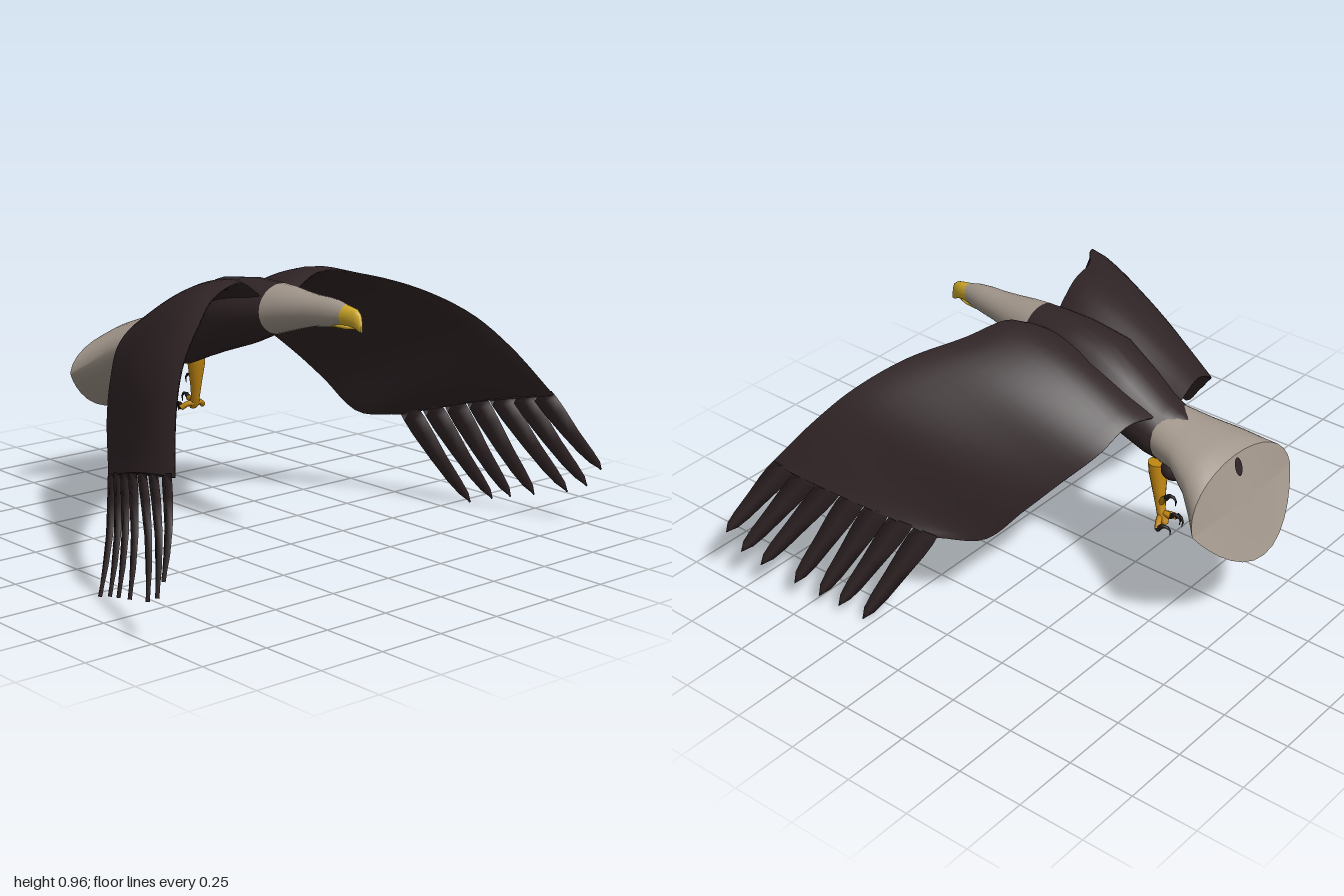
import * as THREE from 'three';

const mat = (name, color) => {
  const m = new THREE.MeshStandardMaterial({ color, side: THREE.DoubleSide });
  m.name = name;
  return m;
};
const V = (x, y, z) => new THREE.Vector3(x, y, z);

// Skin a list of closed rings (arrays of Vector3), closing both ends
function loft(rings, caps = true) {
  const n = rings[0].length, pos = [], idx = [];
  rings.forEach(r => r.forEach(p => pos.push(p.x, p.y, p.z)));
  for (let i = 0; i < rings.length - 1; i++) {
    for (let j = 0; j < n; j++) {
      const a = i * n + j, b = i * n + (j + 1) % n;
      idx.push(a, b, a + n, b, b + n, a + n);
    }
  }
  if (caps) {
    [0, rings.length - 1].forEach((k, e) => {
      const c = rings[k].reduce((s, p) => s.add(p), V(0, 0, 0)).divideScalar(n);
      const o = pos.length / 3;
      rings[k].forEach(p => pos.push(p.x, p.y, p.z));
      pos.push(c.x, c.y, c.z);
      for (let j = 0; j < n; j++) {
        const a = o + j, b = o + (j + 1) % n;
        e ? idx.push(a, b, o + n) : idx.push(b, a, o + n);
      }
    });
  }
  const g = new THREE.BufferGeometry();
  g.setAttribute('position', new THREE.Float32BufferAttribute(pos, 3));
  g.setIndex(idx);
  g.computeVertexNormals();
  return g;
}

// Elliptical sections [z, centre x, centre y, half width, half height]
const ovals = (rows, n = 24) => loft(rows.map(([z, cx, cy, rx, ry]) =>
  Array.from({ length: n }, (_, j) => {
    const t = j / n * Math.PI * 2;
    return V(cx + rx * Math.cos(t), cy + ry * Math.sin(t), z);
  })));

// Wing edges, from root to the base of the long feathers
const LEAD = [[.06, .88, .15], [.18, .955, .17], [.34, .935, .23], [.505, .88, .355],
  [.66, .785, .47], [.765, .665, .57], [.862, .5, .69]].map(p => V(...p));
const TRAIL = [[.06, .73, -.4], [.2, .745, -.37], [.32, .68, -.34], [.425, .575, -.25],
  [.505, .47, -.16], [.585, .345, -.045], [.68, .345, .09]].map(p => V(...p));
const TIPS = [[.865, .01, .29], [.89, .04, .38], [.91, .06, .455], [.935, .085, .55],
  [.965, .12, .685], [.985, .155, .76], [1, .225, .812]].map(p => V(...p));

export function createModel() {
  const model = new THREE.Group();
  model.name = 'flyingEagle';
  const brown = mat('dark brown plumage', 0x302426);
  const white = mat('greyish white plumage', 0xa0958a);
  const beakYellow = mat('beak yellow', 0xd0aa2a);
  const legYellow = mat('leg ochre', 0xc08612);
  const black = mat('talon black', 0x1a1616);
  const add = (name, geo, material, parent = model) => {
    const m = new THREE.Mesh(geo, material);
    m.name = name;
    parent.add(m);
    return m;
  };

  // Body, head and beak
  add('body', ovals([[.172, .015, .845, .1, .09], [.1, .02, .832, .122, .102],
    [0, .025, .81, .145, .122], [-.15, .025, .775, .148, .138], [-.28, .028, .713, .13, .125],
    [-.36, .03, .67, .118, .114], [-.41, .03, .652, .112, .104], [-.45, .03, .66, .075, .08],
    [-.485, .03, .65, .04, .075], [-.51, .03, .64, .01, .02]]), brown);
  add('head', ovals([[.172, .015, .845, .1, .09], [.23, .014, .853, .085, .08],
    [.3, .013, .86, .069, .066], [.36, .013, .866, .057, .056], [.42, .013, .87, .049, .052],
    [.47, .014, .872, .039, .046], [.512, .015, .874, .028, .034]]), white);
  add('upperBeak', ovals([[.5, .015, .873, .031, .037], [.53, .015, .872, .026, .034],
    [.56, .015, .867, .018, .034], [.578, .015, .855, .011, .032], [.588, .015, .836, .004, .013]], 16), beakYellow);
  add('lowerBeak', ovals([[.46, .015, .838, .026, .014], [.51, .015, .833, .017, .009],
    [.55, .015, .833, .004, .004]], 12), beakYellow);

  // Fan tail: sections [half width, corner y z, top y z, bottom y z, keel sharpness]
  const tailRing = ([w, cy, cz, ty, tz, by, bz, keel], n = 32) => Array.from({ length: n }, (_, j) => {
    const t = j / n * Math.PI * 2, c = Math.cos(t), k = Math.abs(c) ** (c > 0 ? .95 : keel);
    const [ey, ez] = c > 0 ? [ty, tz] : [by, bz];
    return V(.03 + w * Math.sin(t), cy + (ey - cy) * k, cz + (ez - cz) * k);
  });
  const rim = tailRing([.29, .5, -.72, .66, -.68, .312, -.82, 1.8]);
  add('tail', loft([tailRing([.115, .65, -.41, .745, -.41, .555, -.42, 1]),
    tailRing([.145, .64, -.51, .718, -.51, .53, -.52, 1.1]),
    tailRing([.2, .59, -.61, .7, -.6, .44, -.64, 1.4]),
    tailRing([.245, .54, -.67, .682, -.65, .375, -.735, 1.6]), rim], false), white);
  const hollow = V(.03, .53, -.712);
  add('tailEnd', loft([rim, rim.map(p => p.clone().lerp(hollow, .5)),
    rim.map(p => p.clone().lerp(hollow, .98))]), white);

  // Dark marks on the tail
  const spot = add('tailSpot', new THREE.CircleGeometry(.019, 16), brown);
  spot.scale.y = 1.8;
  spot.position.set(.03, .622, -.699);
  spot.rotation.x = Math.PI + .3;
  const wedge = new THREE.Shape([[-.025, .17], [.025, .17], [.035, .06], [.055, .02], [0, 0], [-.055, .02], [-.035, .06]]
    .map(p => new THREE.Vector2(...p)));
  const mark = add('underTailMark', new THREE.ShapeGeometry(wedge), brown);
  mark.position.set(.03, .307, -.808);
  mark.rotation.x = .94;

  // Wings
  const leadCurve = new THREE.CatmullRomCurve3(LEAD), trailCurve = new THREE.CatmullRomCurve3(TRAIL);
  const spanN = 28, chordN = 12;
  const surface = (s, u, side) => {
    const L = leadCurve.getPoint(s), T = trailCurve.getPoint(s);
    const span = leadCurve.getTangent(s).add(trailCurve.getTangent(s));
    const n = span.cross(T.clone().sub(L)).normalize();
    const camber = .03 * Math.sin(Math.PI * u ** .8);
    const belly = side < 0 ? .035 * Math.sin(Math.PI * u) * Math.sin(Math.PI * s) : 0;
    const thick = (.018 - .012 * s) * Math.sin(Math.PI * Math.sqrt(u)) + .003 + belly;
    return L.lerp(T, u).addScaledVector(n, camber + side * thick);
  };
  for (const sx of [1, -1]) {
    const wing = new THREE.Group();
    wing.name = sx > 0 ? 'leftWing' : 'rightWing';
    model.add(wing);
    const place = p => V(sx * p.x + .02 * (1 - p.x), p.y, p.z);
    const rings = [];
    for (let i = 0; i <= spanN; i++) {
      const r = [];
      for (let j = 0; j <= chordN; j++) r.push(place(surface(i / spanN, j / chordN, 1)));
      for (let j = chordN; j >= 0; j--) r.push(place(surface(i / spanN, j / chordN, -1)));
      rings.push(r);
    }
    add('wingSurface', loft(rings), brown, wing);

    // Long separated feathers: [position along, half width]
    TIPS.forEach((tip, i) => {
      const u = 1 - (i + .5) / 7;
      const base = surface(.995, u, 0);
      const across = LEAD[6].clone().sub(TRAIL[6]).normalize();
      const up = across.clone().cross(tip.clone().sub(base)).normalize();
      const blade = [[-.01, .044], [.08, .047], [.22, .046], [.5, .037], [.75, .03], [.9, .021], [1, .002]]
        .map(([t, w]) => {
          const c = base.clone().lerp(tip, t).addScaledVector(up, -.012 * Math.sin(Math.PI * Math.max(t, 0)));
          return [[1, 0], [0, 1], [-1, 0], [0, -1]].map(([a, b]) =>
            place(c.clone().addScaledVector(across, a * w).addScaledVector(up, b * .007)));
        });
      add('longFeather', loft(blade), brown, wing);
    });

    // Leg, toes and talons
    const leg = new THREE.Group();
    leg.name = sx > 0 ? 'leftLeg' : 'rightLeg';
    leg.position.x = .03;
    model.add(leg);
    const thigh = add('thigh', new THREE.SphereGeometry(1, 20, 14), brown, leg);
    thigh.scale.set(.06, .042, .05);
    thigh.position.set(sx * .088, .585, -.505);
    const levels = [[.57, .08, -.42, .034], [.53, .082, -.425, .033], [.45, .09, -.438, .022],
      [.4, .097, -.45, .017], [.365, .102, -.465, .02], [.35, .103, -.473, .012]];
    add('shank', loft(levels.map(([y, x, z, r]) => Array.from({ length: 14 }, (_, j) => {
      const t = j / 14 * Math.PI * 2;
      return V(sx * x + r * Math.cos(t), y, z + r * Math.sin(t));
    }))), legYellow, leg);
    // Toes as [start y, sideways reach, end y, end z]
    [[.375, -.045, .355, -.485], [.38, .0, .385, -.495], [.375, .055, .355, -.48], [.425, .01, .46, -.48]]
      .forEach(([y0, dx, y1, z1]) => {
        const p = (f, y, z) => V(sx * (.1 + dx * f), y, z);
        const toe = new THREE.CatmullRomCurve3([p(0, y0, -.452), p(.6, (y0 + y1) / 2 + .005, (z1 - .455) / 2), p(1, y1, z1)]);
        add('toe', new THREE.TubeGeometry(toe, 8, .011, 8), legYellow, leg);
        const claw = new THREE.CatmullRomCurve3([p(1, y1, z1), p(.85, y1 + .017, z1 - .02),
          p(.7, y1 + .006, z1 - .04), p(.6, y1 - .02, z1 - .038)]);
        const clawRings = [0, .25, .5, .75, 1].map(t => {
          const c = claw.getPoint(t), r = .009 * (1 - t) + .001;
          const q = V(1, 0, 0).cross(claw.getTangent(t)).normalize();
          return Array.from({ length: 8 }, (_, j) => {
            const a = j / 8 * Math.PI * 2;
            return c.clone().add(V(r * Math.cos(a), 0, 0)).addScaledVector(q, r * Math.sin(a));
          });
        });
        add('talon', loft(clawRings), black, leg);
      });
  }
  return model;
}
